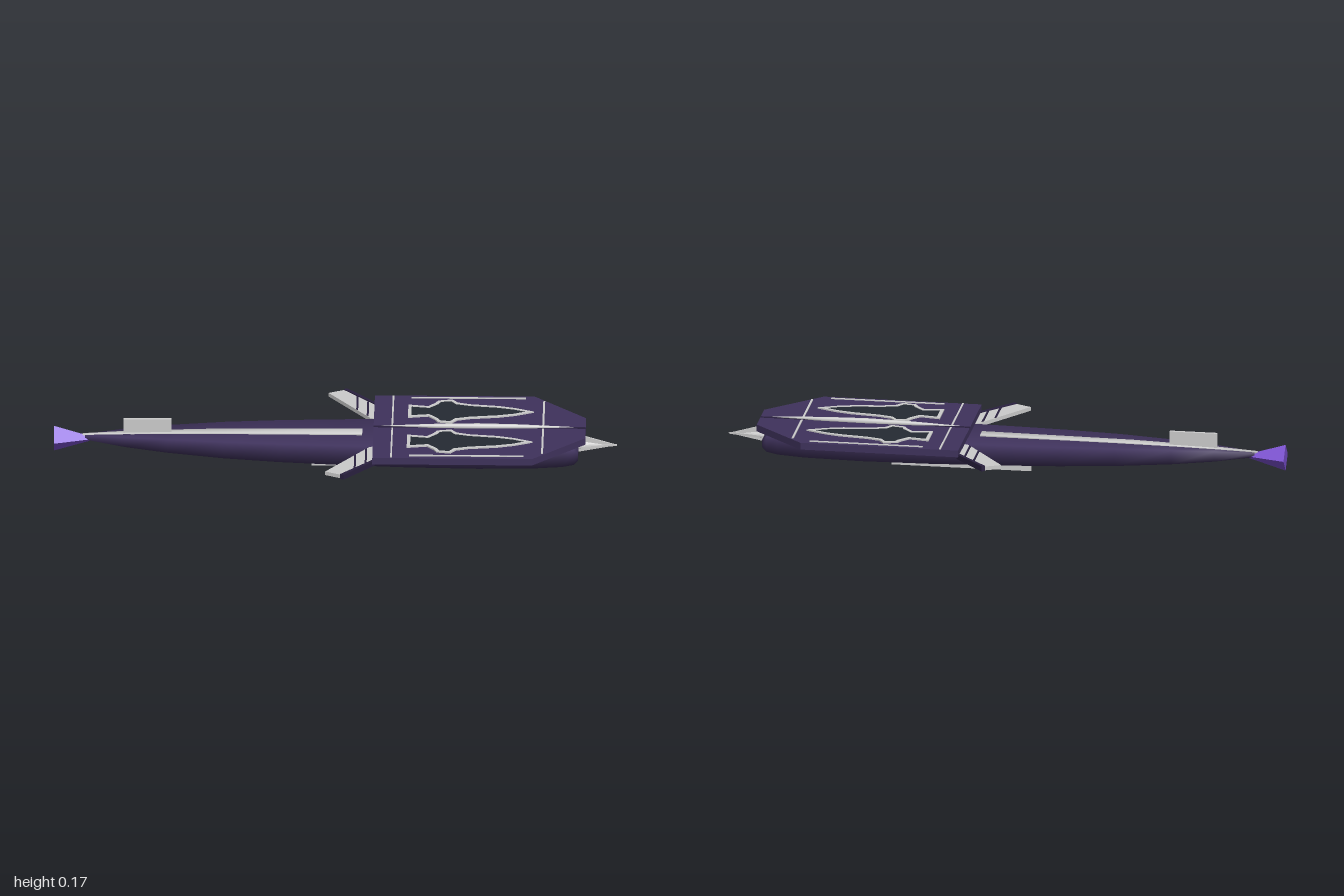
import * as THREE from 'three';

const mat = (color) => new THREE.MeshStandardMaterial({ color });
const purple = mat(0x3f325c), silver = mat(0xcccccc), dark = mat(0x252a33);
const shade = mat(0x2a2040), glow = mat(0x7a4fd0);

export function createModel() {
  const model = new THREE.Group();

  const add = (name, geometry, material) => {
    const mesh = new THREE.Mesh(geometry, material);
    mesh.name = name;
    model.add(mesh);
    return mesh;
  };
  // box given by its limits on each axis
  const box = (name, [x0, x1], [y0, y1], [z0, z1], material) =>
    add(name, new THREE.BoxGeometry(x1 - x0, y1 - y0, z1 - z0), material)
      .position.set((x0 + x1) / 2, (y0 + y1) / 2, (z0 + z1) / 2);
  // flat plate with an outline of [x, z] points
  const slab = (name, points, y0, y1, material, hole) => {
    const flat = (list) => list.map(([x, z]) => new THREE.Vector2(x, -z));
    const shape = new THREE.Shape(flat(points));
    if (hole) shape.holes.push(new THREE.Path(flat(hole)));
    const g = new THREE.ExtrudeGeometry(shape, { depth: y1 - y0, bevelEnabled: false });
    g.rotateX(-Math.PI / 2).translate(0, y0, 0);
    return add(name, g, material);
  };
  const mirrored = (half) =>
    [...half, ...half.map(([x, z]) => [x, -z]).reverse().filter(([, z]) => z !== 0)];

  // loft of rectangular sections [x, half width, bottom, top], smooth shaded
  const loft = (sections) => {
    const pos = [], index = [];
    for (const [x, w, b, t] of sections) pos.push(x, b, w, x, b, -w, x, t, -w, x, t, w);
    for (let i = 0; i < sections.length - 1; i++) {
      for (let k = 0; k < 4; k++) {
        const a = i * 4 + k, c = i * 4 + (k + 1) % 4;
        index.push(a, c, a + 4, c, c + 4, a + 4);
      }
    }
    const e = (sections.length - 1) * 4;
    index.push(0, 2, 1, 0, 3, 2, e, e + 1, e + 2, e, e + 2, e + 3);
    const g = new THREE.BufferGeometry();
    g.setAttribute('position', new THREE.Float32BufferAttribute(pos, 3));
    g.setIndex(index);
    g.computeVertexNormals();
    return g;
  };

  // hull: slim blade, wide at the bow and pointed at the stern
  add('hull', loft([
    [-0.89, 0.008, 0.094, 0.110], [-0.75, 0.038, 0.080, 0.117], [-0.6, 0.062, 0.070, 0.121],
    [-0.4, 0.086, 0.061, 0.124], [-0.2, 0.102, 0.055, 0.125], [0, 0.112, 0.051, 0.125],
    [0.25, 0.121, 0.047, 0.125], [0.5, 0.124, 0.045, 0.125], [0.7, 0.124, 0.048, 0.125],
    [0.8, 0.123, 0.054, 0.123], [0.84, 0.122, 0.062, 0.118], [0.855, 0.12, 0.078, 0.105],
  ]), purple);

  // spine strip along the hull top
  add('spineStrip', loft([
    [-0.9, 0.003, 0.1, 0.114], [-0.72, 0.012, 0.11, 0.122],
    [-0.45, 0.018, 0.115, 0.128], [0.09, 0.022, 0.12, 0.131],
  ]), silver);

  // fins
  box('tailFin', [-0.755, -0.585], [0.11, 0.173], [-0.006, 0.006], silver);
  box('keel', [-0.09, 0.41], [0, 0.06], [-0.007, 0.007], silver);

  // deck
  slab('deck', mirrored([[0.13, 0.265], [0.695, 0.265], [0.88, 0.085]]), 0.124, 0.149, purple);

  // deck centre line with a slim spindle over it
  box('deckCentreLine', [0.13, 0.88], [0.145, 0.151], [-0.005, 0.005], shade);
  const spindle = new THREE.LatheGeometry(
    [[0, -0.35], [0.009, -0.15], [0.012, 0], [0.009, 0.15], [0, 0.35]]
      .map(([r, y]) => new THREE.Vector2(r, y)), 8);
  add('deckSpindle', spindle.rotateZ(-Math.PI / 2).translate(0.5, 0.153, 0), silver);

  // deck stripes
  const top = [0.145, 0.152];
  for (const s of [1, -1]) {
    box('deckSideStripe', [0.26, 0.665], top, [s * 0.245 - 0.004, s * 0.245 + 0.004], silver);
    const span = (a, b) => (s > 0 ? [a, b] : [-b, -a]);
    box('deckRearStripe', [0.193, 0.199], top, span(0.012, 0.26), silver);
    box('deckFrontStripe', [0.726, 0.733], top, span(0.012, 0.22), silver);
  }

  // aircraft-shaped deck panels with a raised silver border
  const outer = mirrored([
    [0.25, 0.052], [0.32, 0.04], [0.345, 0.068], [0.355, 0.088], [0.405, 0.098],
    [0.425, 0.072], [0.47, 0.058], [0.57, 0.045], [0.63, 0.028], [0.695, 0],
  ]);
  const inner = mirrored([
    [0.262, 0.038], [0.325, 0.028], [0.357, 0.062], [0.365, 0.08], [0.4, 0.086],
    [0.416, 0.062], [0.468, 0.047], [0.565, 0.034], [0.622, 0.02], [0.668, 0],
  ]);
  for (const s of [1, -1]) {
    slab('deckPanel', inner, 0.146, 0.152, dark).position.z = s * 0.127;
    slab('deckPanelBorder', outer, 0.146, 0.154, silver, inner).position.z = s * 0.127;
  }

  // swept wings with dark leading edges and bands
  for (const s of [1, -1]) {
    const side = (pts) => pts.map(([x, z]) => [x, z * s]);
    slab('wing', side([[0.15, 0.11], [0.115, 0.125], [-0.035, 0.333], [0.025, 0.362], [0.135, 0.23]]),
      0.112, 0.126, silver);
    slab('wingLeadingEdge', side([[0.018, 0.36], [0.03, 0.367], [0.14, 0.242], [0.14, 0.226]]),
      0.11, 0.129, shade);
    for (const [x, z0, z1] of [[0.065, 0.195, 0.31], [0.103, 0.145, 0.265]]) {
      slab('wingBand', side([[x, z0], [x + 0.007, z0 - 0.008], [x + 0.007, z1 - 0.008], [x, z1]]),
        0.111, 0.128, shade);
    }
  }

  // bow spike: a diamond-section point with two crossed blades
  const spike = new THREE.ConeGeometry(1, 0.22, 4).toNonIndexed();
  spike.rotateZ(-Math.PI / 2).scale(1, 0.034, 0.018).translate(0.885, 0.085, 0);
  spike.computeVertexNormals();
  add('bowSpike', spike, silver);
  const blade = new THREE.Shape([[0.77, -0.033], [0.85, -0.027], [0.99, 0], [0.86, 0.038], [0.8, 0.03]]
    .map(([x, y]) => new THREE.Vector2(x, y)));
  const bladeGeo = new THREE.ExtrudeGeometry(blade, { depth: 0.006, bevelEnabled: false });
  add('bowBlade', bladeGeo.translate(0, 0.085, -0.003), silver);
  slab('bowCrossBlade', mirrored([[0.78, 0.026], [0.87, 0.026], [0.99, 0]]), 0.081, 0.088, silver);

  // four-sided flaring stern nozzle
  const nozzle = new THREE.CylinderGeometry(0.008, 0.048, 0.13, 4).toNonIndexed();
  nozzle.rotateZ(-Math.PI / 2).translate(-0.935, 0.095, 0);
  nozzle.computeVertexNormals();
  add('sternNozzle', nozzle, glow);

  return model;
}
